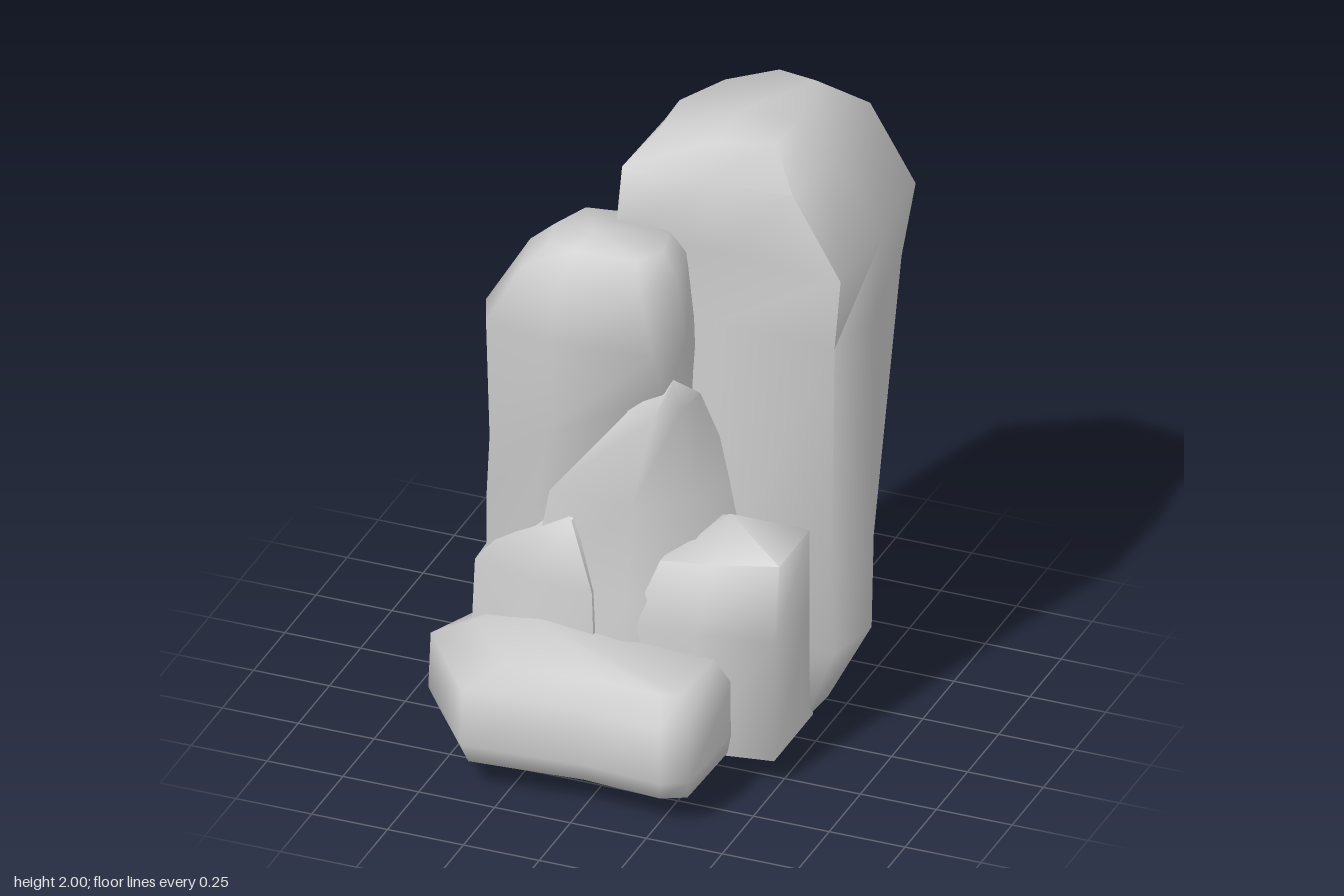
import * as THREE from 'three';
import { toCreasedNormals } from 'three/addons/utils/BufferGeometryUtils.js';

// Skins a rock over stacked rings. Each ring is [y, slopeX, x,z, x,z, ...],
// its corners running front-left, front-right, back-right, back-left.
function rock(name, rings, bottom, top) {
  const n = (rings[0].length - 2) / 2;
  const pos = [];
  const index = [];
  for (const [y, slope, ...p] of rings) {
    let cx = 0;
    for (let i = 0; i < n; i++) cx += p[2 * i] / n;
    for (let i = 0; i < n; i++) {
      pos.push(p[2 * i], y + slope * (p[2 * i] - cx), p[2 * i + 1]);
    }
  }
  const low = rings.length * n;
  const high = low + 1;
  const last = low - n;
  pos.push(...bottom, ...top);
  for (let i = 0; i < n; i++) {
    const j = (i + 1) % n;
    for (let r = 0; r < last; r += n) {
      index.push(r + i, r + j, r + n + j, r + i, r + n + j, r + n + i);
    }
    index.push(low, j, i, high, last + i, last + j);
  }
  const geo = new THREE.BufferGeometry();
  geo.setAttribute('position', new THREE.Float32BufferAttribute(pos, 3));
  geo.setIndex(index);
  const mesh = new THREE.Mesh(
    toCreasedNormals(geo, 1.45),
    new THREE.MeshStandardMaterial({ color: 0xcccccc, side: THREE.DoubleSide })
  );
  mesh.name = name;
  return mesh;
}

// Repeats one outline at several [y, slopeX, scale] levels, shrinking towards an anchor.
function taper(outline, anchor, levels) {
  return levels.map(([y, slope, s]) => [
    y, slope, ...outline.map((v, i) => anchor[i % 2] + (v - anchor[i % 2]) * s)
  ]);
}

export function createModel() {
  const group = new THREE.Group();
  group.name = 'rockFormation';

  // tall pillar at the back, undercut towards its foot
  group.add(rock('tallPillar', [
    [0.09, 0, -0.1, 0.03, 0.2, 0.05, 0.48, 0.02, 0.49, -0.12, 0.4, -0.28, 0.2, -0.32, -0.02, -0.28, -0.1, -0.12],
    [0.33, 0, -0.13, 0.03, 0.2, 0.05, 0.57, 0.02, 0.61, -0.18, 0.45, -0.45, 0.2, -0.52, -0.04, -0.44, -0.14, -0.2],
    [0.58, 0, -0.14, 0.03, 0.2, 0.05, 0.56, 0.02, 0.61, -0.18, 0.48, -0.52, 0.2, -0.7, -0.06, -0.61, -0.15, -0.26],
    [1.4, 0, -0.15, 0.03, 0.17, 0, 0.57, 0.02, 0.61, -0.2, 0.54, -0.59, 0.2, -0.69, -0.08, -0.68, -0.15, -0.45],
    [1.64, 0, -0.15, 0.03, 0.18, -0.02, 0.59, 0.02, 0.6, -0.3, 0.57, -0.63, 0.2, -0.69, -0.07, -0.67, -0.15, -0.4],
    [1.89, 0, -0.13, 0.02, 0.15, 0.01, 0.42, -0.01, 0.44, -0.28, 0.42, -0.63, 0.2, -0.66, 0, -0.54, -0.12, -0.3],
    [1.985, 0, -0.05, -0.09, 0.15, -0.08, 0.32, -0.12, 0.33, -0.3, 0.28, -0.54, 0.15, -0.56, 0.02, -0.44, -0.06, -0.27]
  ], [0.25, 0, -0.08], [0.14, 2, -0.25]));

  // shorter pillar with an overhanging head
  group.add(rock('shortPillar', [
    [0.12, 0, -0.47, 0.28, -0.25, 0.3, 0.08, 0.25, 0.12, 0.08, 0, -0.08, -0.18, -0.13, -0.36, -0.14, -0.47, -0.09],
    [0.8, 0, -0.47, 0.28, -0.3, 0.31, 0.04, 0.18, 0.1, 0.05, 0, -0.14, -0.15, -0.16, -0.35, -0.15, -0.49, 0.02],
    [1.12, 0.4, -0.46, 0.28, -0.25, 0.32, 0.08, 0.2, 0.12, 0.06, 0, -0.14, -0.15, -0.16, -0.34, -0.15, -0.48, 0.06],
    [1.4, 0, -0.48, 0.26, -0.25, 0.3, 0.08, 0.28, 0.14, 0.16, 0.08, -0.08, -0.15, -0.16, -0.36, -0.14, -0.53, 0.14],
    [1.62, 0, -0.36, 0.27, -0.22, 0.31, 0.04, 0.29, 0.11, 0.16, 0.06, -0.05, -0.15, -0.13, -0.32, -0.1, -0.4, 0.1],
    [1.69, 0, -0.29, 0.22, -0.2, 0.23, 0, 0.22, 0.05, 0.13, 0.02, 0, -0.15, -0.05, -0.27, -0.03, -0.32, 0.1]
  ], [-0.18, 0.1, 0.1], [-0.17, 1.73, 0.15]));

  // leaning slab between the pillars
  group.add(rock('middleSlab', [
    [0.1, 0, -0.3, 0.38, 0, 0.4, 0.25, 0.34, 0.34, 0, -0.3, 0],
    [0.58, 0, -0.3, 0.33, 0.02, 0.36, 0.22, 0.28, 0.32, 0, -0.3, 0],
    [0.88, 0, -0.25, 0.31, 0.02, 0.31, 0.18, 0.18, 0.24, 0, -0.2, 0],
    [1.17, 0, -0.02, 0.25, 0.07, 0.25, 0.13, 0.18, 0.14, 0.05, -0.05, 0.04]
  ], [0, 0.1, 0.15], [0.1, 1.27, 0.17]));

  // low mound below the short pillar
  group.add(rock('sideMound', [
    [0.12, 0, -0.49, 0.38, -0.3, 0.41, -0.05, 0.42, 0, 0.1, -0.3, 0, -0.47, 0.08],
    [0.58, 0, -0.5, 0.3, -0.3, 0.35, -0.09, 0.36, -0.06, 0.1, -0.3, 0, -0.51, 0.1],
    [0.74, 0.5, -0.42, 0.28, -0.3, 0.32, -0.17, 0.33, -0.15, 0.12, -0.3, 0.05, -0.43, 0.12]
  ], [-0.25, 0.1, 0.2], [-0.23, 0.82, 0.26]));

  // upright block beside the mound, its crest running back into the tall pillar
  group.add(rock('sideBlock', taper(
    [0.02, 0.36, 0.24, 0.35, 0.49, 0.31, 0.49, 0, 0.2, -0.02, 0.02, 0], [0.49, 0.1],
    [[0.09, 0, 1], [0.5, 0, 0.97], [0.73, 0.1, 0.8]]
  ), [0.25, 0.08, 0.15], [0.27, 0.81, 0.12]));

  // broad boulder lying in front
  group.add(rock('frontBoulder', taper(
    [-0.62, 0.4, -0.39, 0.7, 0, 0.67, 0.27, 0.69, 0.35, 0.65, 0.36, 0.28, 0, 0.05, -0.48, 0.08], [0.1, 0.3],
    [[0.1, 0, 0.95], [0.16, 0, 0.99], [0.35, 0, 0.98], [0.42, 0, 0.78]]
  ), [-0.1, 0.1, 0.4], [-0.26, 0.46, 0.38]));

  return group;
}
